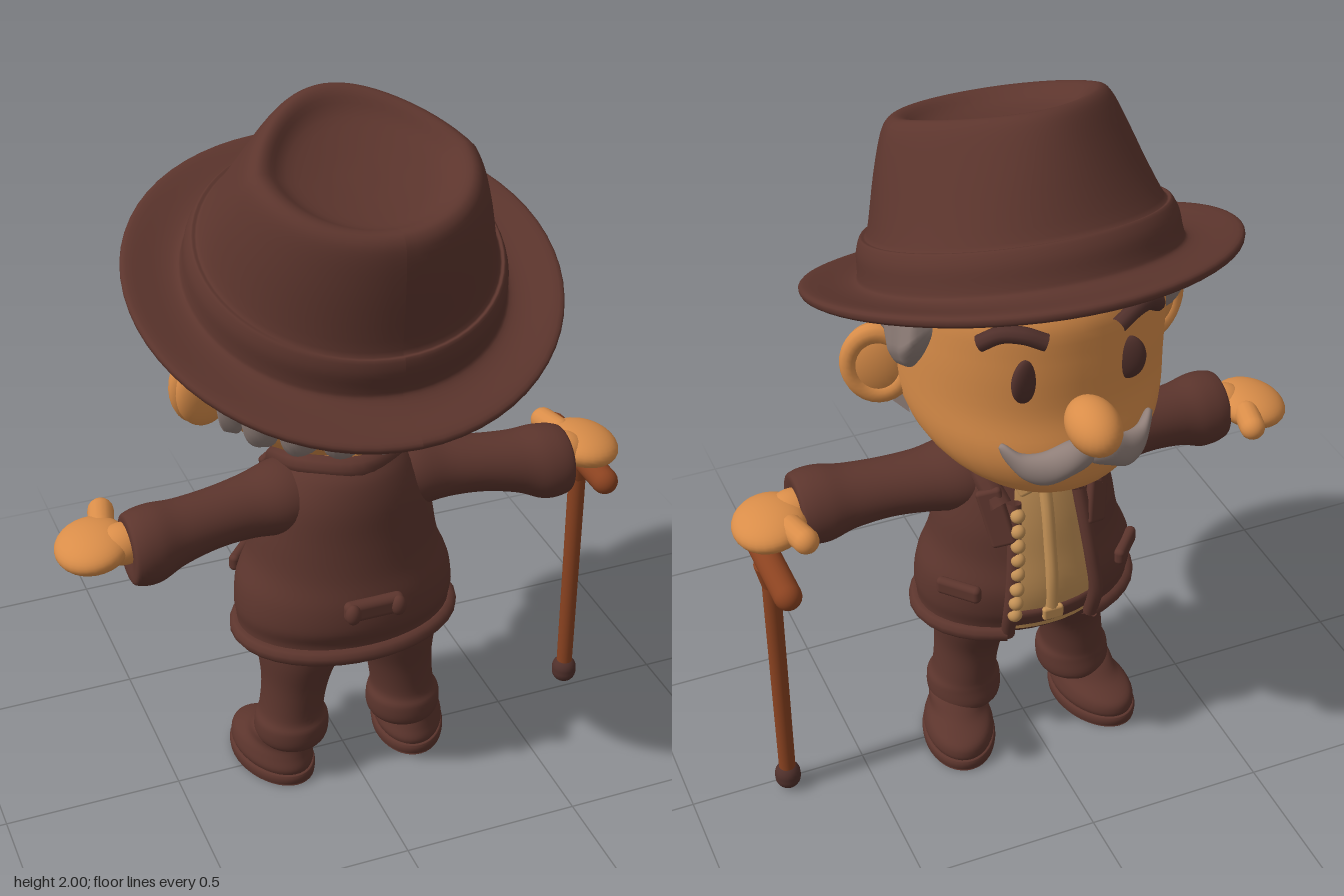
import * as THREE from 'three';
import { mergeVertices } from 'three/addons/utils/BufferGeometryUtils.js';
import { RoundedBoxGeometry } from 'three/addons/geometries/RoundedBoxGeometry.js';

const mat = (name, color) => {
  const m = new THREE.MeshStandardMaterial({ color });
  m.name = name;
  return m;
};

// Smooth cross-section along rings of [y, rx, rz, cz, cx], u in 0..1
function section(rings) {
  const curve = pts => new THREE.CatmullRomCurve3(pts, false, 'catmullrom', 0.5);
  const a = curve(rings.map(r => new THREE.Vector3(r[0], r[1], r[2])));
  const b = curve(rings.map(r => new THREE.Vector3(r[3] || 0, r[4] || 0, 0)));
  return u => {
    const p = a.getPoint(u), q = b.getPoint(u);
    return { y: p.x, rx: Math.max(0, p.y), rz: Math.max(0, p.z), cz: q.x, cx: q.y };
  };
}

// Point on a lofted surface at azimuth a (0 = back, PI = face side) and height y
function surface(rings) {
  const s = section(rings);
  return (a, y, off = 0) => {
    let lo = 0, hi = 1;
    for (let i = 0; i < 24; i++) {
      const m = (lo + hi) / 2;
      if (s(m).y < y) lo = m; else hi = m;
    }
    const c = s(lo);
    return new THREE.Vector3(c.cx + (c.rx + off) * Math.sin(a), y, c.cz + (c.rz + off) * Math.cos(a));
  };
}

// Grid of points f(i / n, j / m) turned into a smooth skin
function skinGrid(f, n, m) {
  const pos = [], idx = [];
  for (let i = 0; i <= n; i++) for (let j = 0; j <= m; j++) {
    pos.push(...f(i / n, j / m));
    if (i < n && j < m) {
      const k = i * (m + 1) + j, l = k + m + 1;
      idx.push(k, k + 1, l, k + 1, l + 1, l);
    }
  }
  let g = new THREE.BufferGeometry();
  g.setAttribute('position', new THREE.Float32BufferAttribute(pos, 3));
  g.setIndex(idx);
  g = mergeVertices(g, 1e-5);
  g.computeVertexNormals();
  return g;
}

function loft(rings, a0 = -Math.PI, a1 = Math.PI) {
  const s = section(rings);
  return skinGrid((u, v) => {
    const c = s(u), a = a0 + (a1 - a0) * v;
    return [c.cx + c.rx * Math.sin(a), c.y, c.cz + c.rz * Math.cos(a)];
  }, (rings.length - 1) * 5, 40);
}

const tube = (pts, r) => new THREE.TubeGeometry(
  new THREE.CatmullRomCurve3(pts.map(p => p.isVector3 ? p : new THREE.Vector3(...p))), 32, r, 10);

export function createModel() {
  const root = new THREE.Group();
  const brown = mat('brown cloth', 0x5c352d), skin = mat('skin', 0xd98d49), hairM = mat('grey hair', 0x8f7e78);
  const wood = mat('cane wood', 0x8a4220), tan = mat('tan shirt', 0xc39156), dark = mat('dark brown', 0x50302b);
  brown.side = hairM.side = THREE.DoubleSide;

  const add = (parent, name, geo, m, p = [0, 0, 0], r = [0, 0, 0]) => {
    const o = new THREE.Mesh(geo, m);
    o.name = name;
    o.position.set(...p);
    o.rotation.set(...r);
    parent.add(o);
    return o;
  };
  const blob = (parent, name, m, p, s, r) => {
    const o = add(parent, name, new THREE.SphereGeometry(1, 28, 20), m, p, r);
    o.scale.set(...s);
    return o;
  };

  // Head and neck
  const headRings = [[1.02, 0, 0, -.17], [1.03, .15, .14, -.17], [1.07, .24, .24, -.12], [1.13, .30, .30, -.085],
    [1.2, .335, .34, -.05], [1.3, .35, .34, -.03], [1.45, .355, .345, -.025], [1.58, .345, .345, -.01],
    [1.68, .28, .27, .03], [1.74, .12, .12, .06], [1.75, 0, 0, .06]];
  const headAt = surface(headRings);
  add(root, 'head', loft(headRings), skin);
  add(root, 'neck', new THREE.CylinderGeometry(.12, .13, .14, 28), skin, [0, 1.02, 0]);
  blob(root, 'nose', skin, [0, 1.305, -.44], [.068, .065, .092], [-.15, 0, 0]);

  // Hair shell around the back with scalloped locks and sideburns
  const hairEdge = a => {
    const t = Math.abs(a);
    if (t < 1.27) return 1.235 - .1 * Math.sqrt(Math.abs(Math.cos(a * 9.9)));
    if (t < 1.66) return 1.42;
    return 1.34 + .16 * ((t - 1.66) / .4) ** 2;
  };
  add(root, 'hair', skinGrid((u, v) => {
    const a = (v * 2 - 1) * 2.06, lock = Math.abs(Math.cos(a * 9.9));
    const y = hairEdge(a) * (1 - u) + 1.6 * u;
    const edge = Math.min(1, (2.06 - Math.abs(a)) * 12);
    const off = (.015 + .022 * lock * (1 - u) + .018) * Math.sqrt(Math.min(1, u * 4)) * edge;
    return headAt(a, y, off - .004 + (y < 1.24 ? (1.24 - y) * .25 : 0)).toArray();
  }, 16, 180), hairM);

  // Hat: lathe with pinched crown, tilted back
  const hat = new THREE.Group();
  hat.name = 'hat';
  hat.position.y = 1.5;
  hat.rotation.x = .34;
  root.add(hat);
  const profile = [[0, -.012], [.2, -.012], [.4, -.012], [.54, -.006], [.566, .008], [.552, .026], [.47, .028], [.425, .038],
    [.415, .06], [.41, .11], [.395, .145], [.376, .155], [.337, .3], [.305, .395], [.278, .43], [.245, .43], [.19, .395], [.08, .375], [0, .372]];
  const hatGeo = new THREE.LatheGeometry(new THREE.SplineCurve(profile.map(p => new THREE.Vector2(...p))).getPoints(72), 64);
  const hp = hatGeo.attributes.position;
  for (let i = 0; i < hp.count; i++) {
    const x = hp.getX(i), y = hp.getY(i), z = hp.getZ(i), r = Math.hypot(x, z);
    const front = Math.max(0, -z / .3), up = Math.max(0, (y - .16) / .27);
    if (r < .4) hp.setX(i, x * (1 - .3 * Math.min(1, front) * up));
    if (r > .42) hp.setY(i, y + .03 * (x / r) ** 2 * (r - .42) / .14);
  }
  hatGeo.computeVertexNormals();
  add(hat, 'hatCrownAndBrim', hatGeo, brown);

  // Shirt, with collar and buttons
  const shirtRings = [[.48, .25, .19], [.6, .265, .205], [.72, .235, .19], [.82, .215, .175], [.92, .18, .15], [.99, .14, .12], [1.02, .11, .1]];
  const shirtAt = surface(shirtRings);
  add(root, 'shirt', loft(shirtRings), tan);
  add(root, 'shirtPlacket', tube([.54, .65, .75, .85, .96].map(y => shirtAt(Math.PI, y)), .018), tan);

  // Open jacket
  const coat = [[.455, .26, .19, .01], [.475, .3, .21, .01], [.52, .305, .218, .005], [.57, .31, .235, .005], [.64, .3, .235, 0],
    [.72, .268, .215, 0], [.82, .25, .2, 0], [.92, .22, .18, .01], [.99, .18, .16, .01], [1.03, .14, .12, .02]];
  const coatAt = surface(coat), edgeA = Math.PI - .42;
  add(root, 'jacket', loft(coat, -edgeA, edgeA), brown);
  add(root, 'jacketHem', tube([...Array(25)].map((_, i) => coatAt((i / 12 - 1) * edgeA, .485)), .024), brown);
  const belt = add(root, 'backTab', new RoundedBoxGeometry(.17, .06, .04, 3, .018), brown, [0, .645, .237]);
  for (const s of [-1, 1]) blob(belt, 'tabButton', brown, [s * .065, 0, .015], [.022, .03, .02]);
  add(root, 'collar', tube([[-.13, .9, -.16], [-.155, .98, -.07], [-.13, 1.02, .05], [0, 1.025, .125],
    [.13, 1.02, .05], [.155, .98, -.07], [.13, .9, -.16]], .032), brown);
  // Beads along one front edge
  for (let i = 0; i < 8; i++)
    blob(root, 'bead', tan, coatAt(edgeA + .04, .58 + i * .042, .015).toArray(), [.02, .02, .02]);

  // Hips and waistband
  add(root, 'hips', loft([[.37, 0, 0, .02], [.4, .13, .11, .02], [.45, .245, .17, .01], [.5, .26, .195], [.545, .262, .208], [.56, .22, .17]]), brown);
  add(root, 'buckle', new RoundedBoxGeometry(.06, .04, .02, 2, .008), tan, [0, .535, -.208]);

  // Everything that comes in pairs, built on +x and mirrored
  for (const s of [1, -1]) {
    const half = new THREE.Group();
    half.name = s > 0 ? 'caneSide' : 'freeSide';
    half.scale.x = s;
    root.add(half);

    // Face
    const eye = headAt(Math.PI - .4, 1.41, -.004);
    blob(half, 'eye', dark, eye.toArray(), [.045, .062, .02], [0, .35, 0]);
    add(half, 'eyebrow', tube([2.88, 2.73, 2.58, 2.43].map((a, i) => headAt(a, [1.525, 1.545, 1.545, 1.515][i], .008)), .022), dark);
    add(half, 'moustache', loft([[-.015, 0, 0, -.41], [0, .034, .034, -.415], [.05, .044, .04, -.42, .01], [.11, .045, .036, -.4, .04],
      [.16, .036, .03, -.375, .036], [.195, .024, .02, -.345, .004], [.21, 0, 0, -.34, -.012]]), hairM, [0, 1.22, 0], [0, 0, -Math.PI / 2]);
    blob(half, 'ear', skin, [.385, 1.305, .04], [.092, .112, .045], [0, -.35, 0]);
    const rim = add(half, 'earRim', new THREE.TorusGeometry(.075, .024, 10, 28), skin, [.39, 1.31, .02], [0, -.35, 0]);
    rim.scale.y = 1.2;

    // Jacket front edge, lapel and pocket
    add(half, 'jacketEdge', tube([.48, .58, .68, .78, .9].map(y => coatAt(edgeA, y)), .02), brown);
    add(half, 'lapel', new RoundedBoxGeometry(.07, .17, .025, 3, .011), brown, [.145, .87, -.163], [.2, -.45, -.2]);
    add(half, 'shirtCollar', new RoundedBoxGeometry(.075, .08, .025, 3, .011), tan, [.05, .955, -.142], [.3, -.25, -.35]);
    add(half, 'pocketFlap', new RoundedBoxGeometry(.13, .05, .03, 3, .014), brown, coatAt(2.2, .64, .004).toArray(), [0, 2.3, 0]);

    // Sleeve and hand
    add(half, 'sleeve', loft([[.08, .08, .1, .01, -.01], [.18, .1, .11, .015, -.01], [.28, .085, .092, .025, -.005], [.38, .08, .085, .04, 0],
      [.48, .088, .09, .055, .01], [.55, .105, .103, .065, .02], [.605, .1, .1, .07, .022], [.625, .08, .08, .07, .022], [.61, 0, 0, .07, .022]]),
    brown, [0, .9, 0], [0, 0, -Math.PI / 2]);
    blob(half, 'wrist', skin, [.63, .89, .055], [.07, .055, .06]);
    blob(half, 'palm', skin, [.705, .885, .03], [.1, .052, .112], [0, 0, -.15]);
    add(half, 'thumb', new THREE.CapsuleGeometry(.035, .07, 8, 16), skin, [.655, .9, -.065], [Math.PI / 2, 0, -.25]);

    // Leg and shoe
    add(half, 'trouserLeg', loft([[.09, .06, .06, .035, .165], [.125, .1, .105, .035, .17], [.18, .104, .105, .04, .17], [.22, .09, .097, .035, .168],
      [.32, .095, .105, .035, .155], [.42, .118, .14, .025, .14], [.5, .13, .16, .015, .13]]), brown);
    const shoe = new THREE.Group();
    shoe.name = 'shoe';
    shoe.position.set(.21, 0, -.02);
    shoe.rotation.y = -.22;
    half.add(shoe);
    add(shoe, 'sole', loft([[0, 0, 0], [.001, .09, .145], [.006, .102, .16], [.03, .102, .162], [.036, .085, .14], [.037, 0, 0]]), brown);
    add(shoe, 'shoeUpper', loft([[.025, .09, .15], [.05, .099, .157], [.08, .092, .146, .002], [.108, .078, .11, .03], [.15, .07, .075, .055], [.16, 0, 0, .055]]), brown);
  }

  // Walking cane
  const cane = new THREE.Group();
  cane.name = 'cane';
  cane.position.set(.73, 0, -.03);
  root.add(cane);
  add(cane, 'caneShaft', new THREE.CylinderGeometry(.025, .023, .77, 20), wood, [0, .425, 0]);
  add(cane, 'caneNeck', new THREE.CylinderGeometry(.042, .025, .07, 20), wood, [0, .765, 0]);
  add(cane, 'caneHandle', new THREE.CapsuleGeometry(.037, .32, 8, 20), wood, [0, .812, 0], [Math.PI / 2, 0, 0]);
  add(cane, 'caneTip', new THREE.CapsuleGeometry(.036, .012, 8, 20), dark, [0, .042, 0]);
  return root;
}
